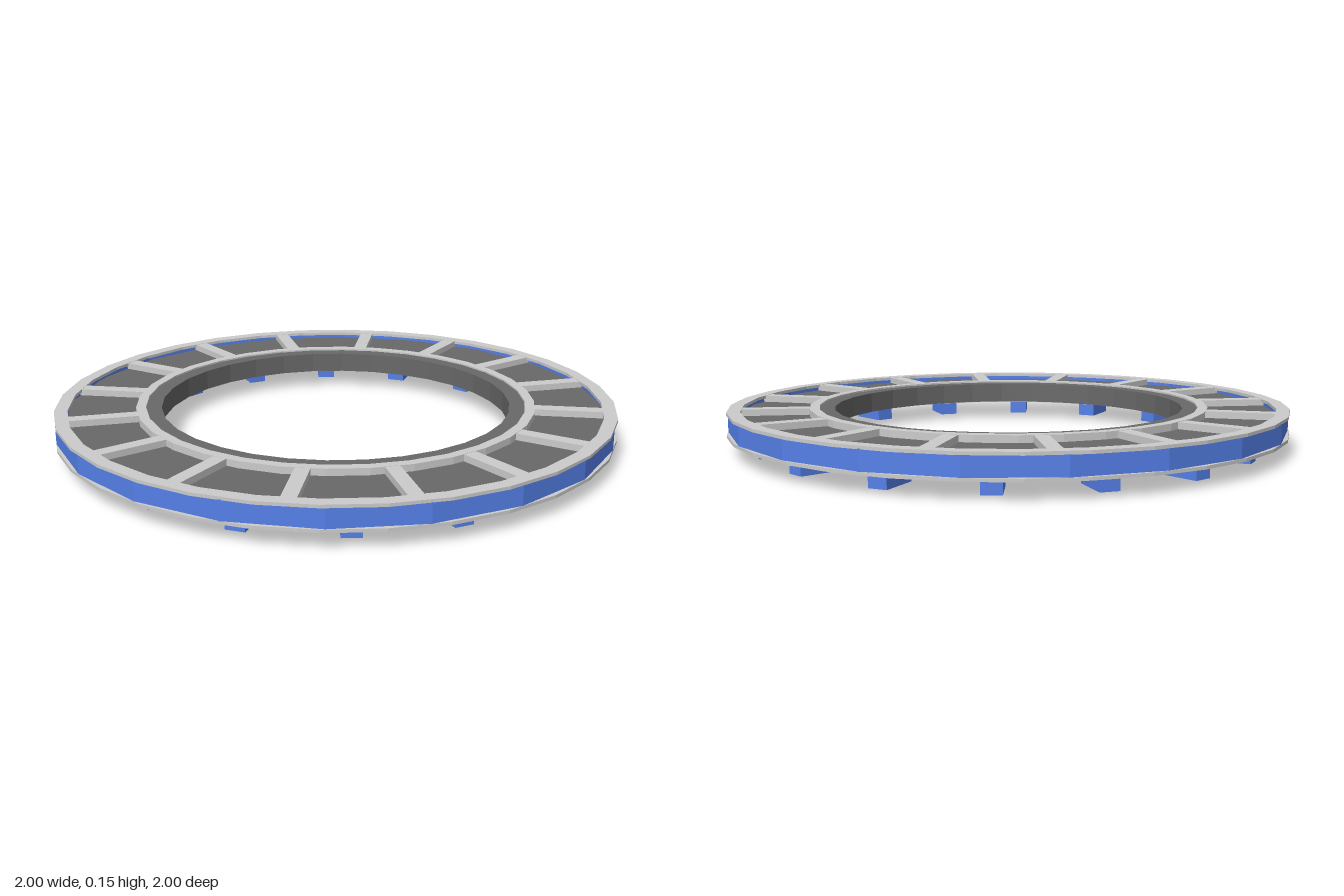
import * as THREE from 'three';

const mat = (color) => new THREE.MeshStandardMaterial({ color, flatShading: true });

export function createModel() {
  const model = new THREE.Group();
  const grey = mat(0xcccccc), dark = mat(0x686868), blue = mat(0x5580e8);

  // Faceted ring with a rectangular section
  function ring(name, material, rIn, rOut, y0, y1, sides = 32, start = 0) {
    const section = [[rIn, y0], [rOut, y0], [rOut, y1], [rIn, y1], [rIn, y0]];
    const points = section.map(([r, y]) => new THREE.Vector2(r, y));
    const mesh = new THREE.Mesh(new THREE.LatheGeometry(points, sides, start), material);
    mesh.name = name;
    model.add(mesh);
  }

  // Boxes laid radially, 16 around the ring
  function radialBoxes(name, material, rIn, rOut, y0, y1, width, offset) {
    const geometry = new THREE.BoxGeometry(rOut - rIn, y1 - y0, width);
    geometry.translate((rIn + rOut) / 2, (y0 + y1) / 2, 0);
    const group = new THREE.Group();
    group.name = name + 's';
    for (let i = 0; i < 16; i++) {
      const mesh = new THREE.Mesh(geometry, material);
      mesh.name = name;
      mesh.rotation.y = -(offset + (i * Math.PI) / 8);
      group.add(mesh);
    }
    model.add(group);
  }

  const step = Math.PI / 32;

  // Dark core and raised inner collar
  ring('panelCore', dark, 0.67, 0.965, 0.07, 0.122);
  ring('innerCollar', dark, 0.625, 0.683, 0.067, 0.14);

  // Coloured outer band
  ring('outerBand', blue, 0.965, 0.996, 0.068, 0.137, 20, 0.172);

  // Rims on the top and underside
  ring('topOuterRim', grey, 0.953, 1, 0.135, 0.146);
  ring('topInnerRim', grey, 0.68, 0.715, 0.12, 0.146);
  ring('bottomOuterRim', grey, 0.953, 1, 0.058, 0.069);
  ring('bottomInnerRim', grey, 0.68, 0.715, 0.058, 0.072);

  // Dividers between the panels, and the feet
  radialBoxes('divider', grey, 0.7, 0.965, 0.12, 0.145, 0.05, step);
  radialBoxes('foot', blue, 0.76, 0.904, 0, 0.075, 0.066, -step);

  return model;
}
